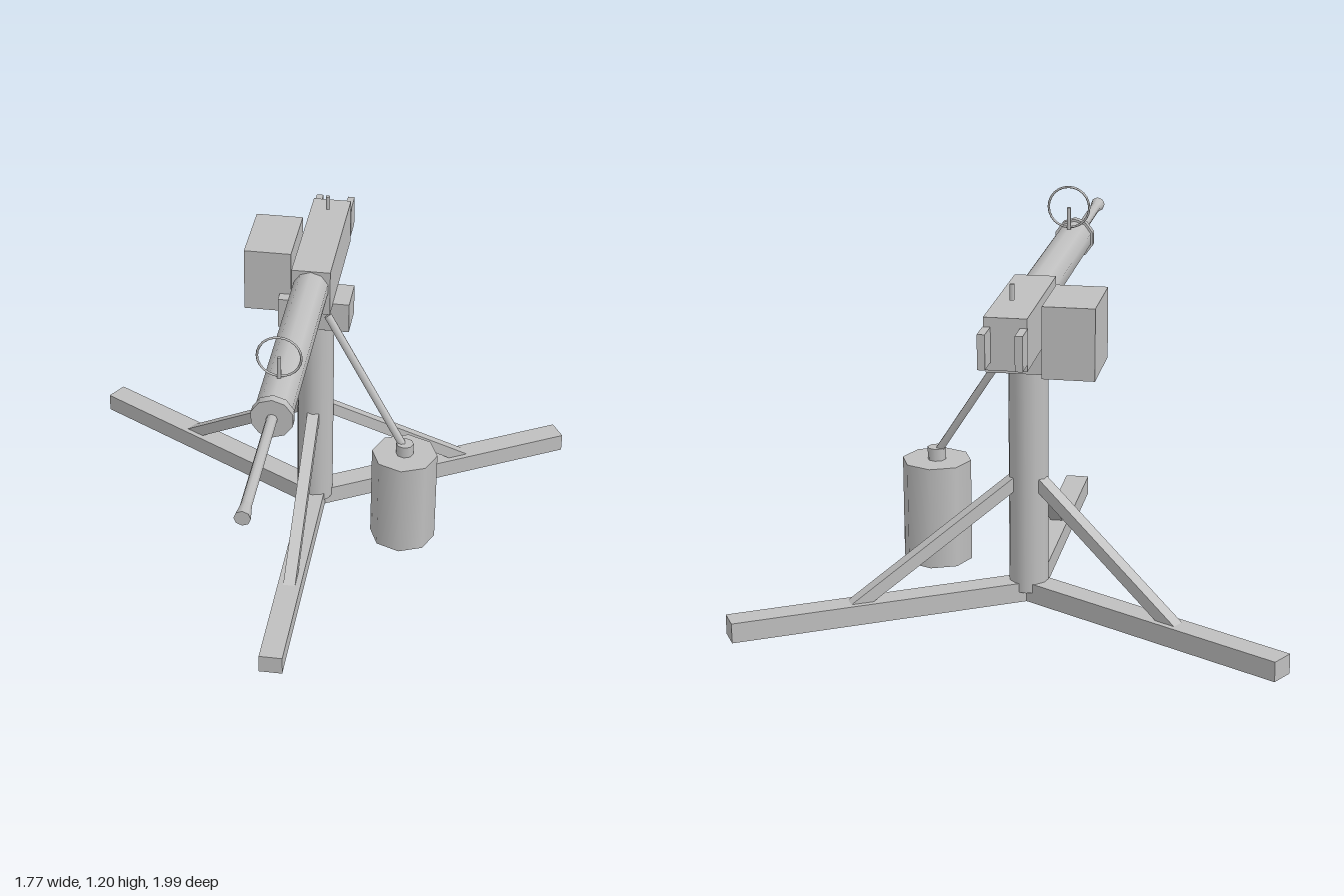
import * as THREE from 'three';

const grey = new THREE.MeshStandardMaterial({ color: 0xbfbfbf });
grey.name = 'light grey';

const POST_Z = -0.46; // mounting post axis
const BORE_Y = 0.985; // gun axis height

function add(parent, name, geometry, x = 0, y = 0, z = 0) {
  const mesh = new THREE.Mesh(geometry, grey);
  mesh.name = name;
  mesh.position.set(x, y, z);
  parent.add(mesh);
  return mesh;
}

// Box given by its limits on each axis
function box(parent, name, [x0, x1], [y0, y1], [z0, z1]) {
  return add(parent, name, new THREE.BoxGeometry(x1 - x0, y1 - y0, z1 - z0),
    (x0 + x1) / 2, (y0 + y1) / 2, (z0 + z1) / 2);
}

// Places a mesh whose long axis is y between two points
function span(mesh, a, b) {
  mesh.position.copy(a).add(b).multiplyScalar(0.5);
  mesh.quaternion.setFromUnitVectors(new THREE.Vector3(0, 1, 0), b.clone().sub(a).normalize());
  return mesh;
}

// Cylinder along the gun axis
function boreCylinder(parent, name, radius, z0, z1, sides, tipRadius = radius) {
  const g = new THREE.CylinderGeometry(tipRadius, radius, z1 - z0, sides);
  g.rotateX(Math.PI / 2);
  return add(parent, name, g, 0, BORE_Y, (z0 + z1) / 2);
}

function createTripod() {
  const tripod = new THREE.Group();
  tripod.name = 'tripod';
  tripod.position.z = POST_Z;
  // Three legs, each with a slanted brace up to the post
  for (let i = 0; i < 3; i++) {
    const arm = new THREE.Group();
    arm.name = 'legAssembly' + (i + 1);
    arm.rotation.y = i * Math.PI * 2 / 3;
    box(arm, 'leg', [-0.04, 0.04], [0, 0.065], [0.02, 0.996]);
    const top = new THREE.Vector3(0, 0.406, 0.05);
    const foot = new THREE.Vector3(0, 0.041, 0.605);
    span(add(arm, 'brace', new THREE.BoxGeometry(0.042, top.distanceTo(foot), 0.04)), foot, top);
    tripod.add(arm);
  }
  add(tripod, 'post', new THREE.CylinderGeometry(0.065, 0.065, 0.745, 12), 0, 0.4075, 0);
  return tripod;
}

function createGun() {
  const gun = new THREE.Group();
  gun.name = 'gun';
  box(gun, 'cradle', [-0.125, 0.125], [0.78, 0.89], [-0.53, -0.395]);
  box(gun, 'receiver', [-0.067, 0.067], [0.885, 1.05], [-0.845, -0.33]);
  box(gun, 'ammunitionBox', [-0.25, -0.085], [0.82, 1.05], [-0.7, -0.435]);
  for (const s of [-1, 1]) {
    box(gun, s > 0 ? 'leftGrip' : 'rightGrip',
      [s * 0.057 - 0.012, s * 0.057 + 0.012], [0.91, 1.02], [-0.93, -0.84]);
  }
  // Water jacket, collar, barrel and flared muzzle
  boreCylinder(gun, 'jacket', 0.062, -0.335, 0.45, 10);
  boreCylinder(gun, 'jacketCollar', 0.07, 0.445, 0.475, 10);
  boreCylinder(gun, 'barrel', 0.018, 0.47, 0.94, 8);
  boreCylinder(gun, 'muzzle', 0.018, 0.935, 1, 8, 0.026);
  // Ring sight with its centre post, and the rear sight peg
  add(gun, 'ringSight', new THREE.TorusGeometry(0.071, 0.004, 6, 24), 0, 1.124, 0.33);
  add(gun, 'ringPost', new THREE.CylinderGeometry(0.007, 0.007, 0.085, 6), 0, 1.08, 0.33);
  add(gun, 'rearSight', new THREE.CylinderGeometry(0.008, 0.008, 0.05, 6), 0, 1.1, -0.73);
  return gun;
}

function createWaterCan() {
  const can = new THREE.Group();
  can.name = 'waterCan';
  add(can, 'canBody', new THREE.CylinderGeometry(0.116, 0.116, 0.348, 8), 0.348, 0.212, -0.258);
  add(can, 'canNeck', new THREE.CylinderGeometry(0.031, 0.031, 0.045, 8), 0.348, 0.405, -0.258);
  // Straight hose from the neck to the gun
  const a = new THREE.Vector3(0.348, 0.405, -0.258);
  const b = new THREE.Vector3(0.055, 0.86, -0.365);
  span(add(can, 'hose', new THREE.CylinderGeometry(0.014, 0.014, a.distanceTo(b), 6)), a, b);
  return can;
}

export function createModel() {
  const model = new THREE.Group();
  model.name = 'mountedGun';
  model.add(createTripod(), createGun(), createWaterCan());
  return model;
}
